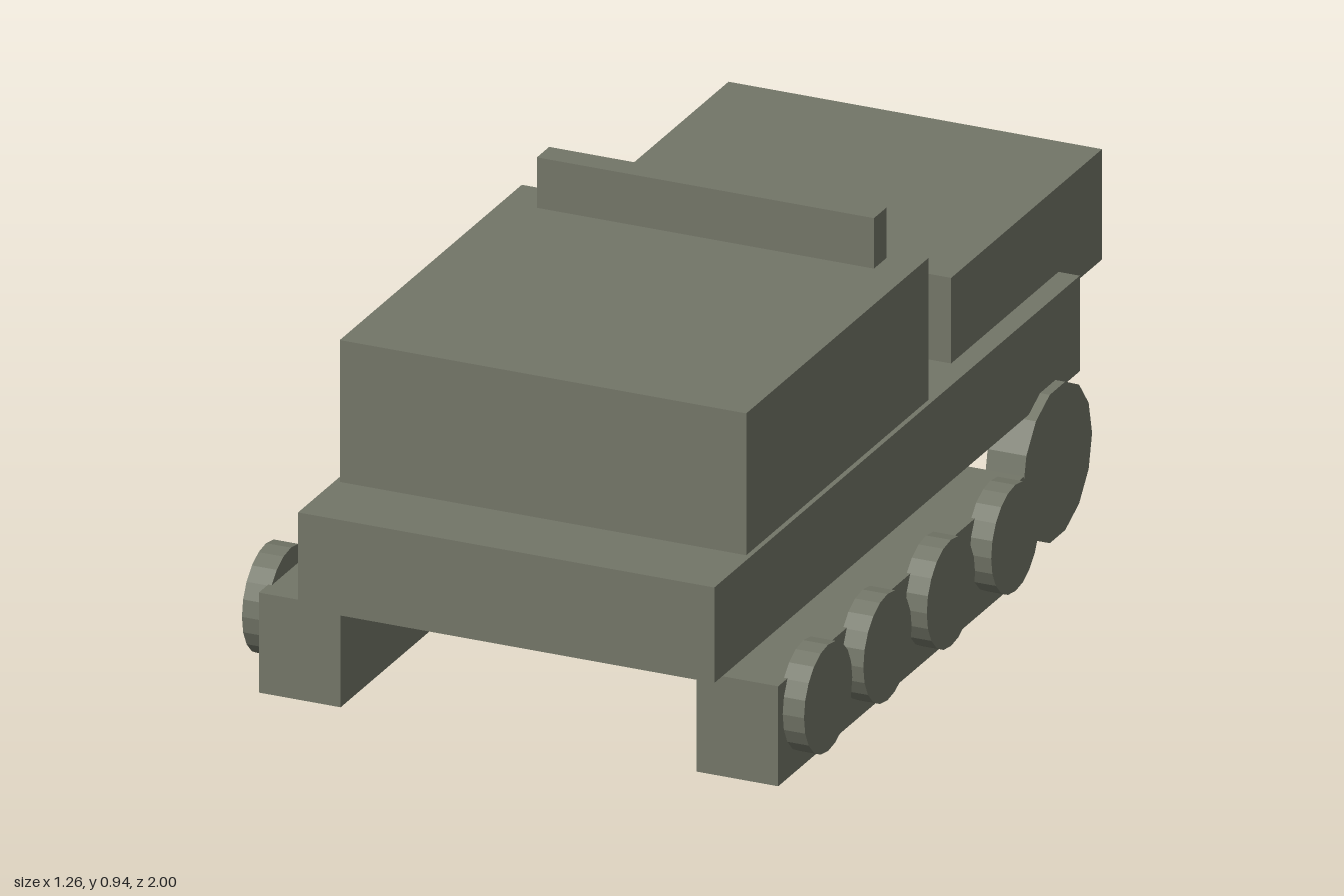
import * as THREE from 'three';

export function createModel() {
  const model = new THREE.Group();
  model.name = 'halfTrackVehicle';
  const olive = new THREE.MeshStandardMaterial({ color: 0x727567, flatShading: true });
  olive.name = 'olive grey';

  // Box given by its extents on each axis
  function box(name, [x0, x1], [y0, y1], [z0, z1]) {
    const mesh = new THREE.Mesh(new THREE.BoxGeometry(x1 - x0, y1 - y0, z1 - z0), olive);
    mesh.position.set((x0 + x1) / 2, (y0 + y1) / 2, (z0 + z1) / 2);
    mesh.name = name;
    model.add(mesh);
  }

  // Wheel with its axle along x
  function wheel(name, side, [x0, x1], y, z, radius, sides) {
    const geometry = new THREE.CylinderGeometry(radius, radius, x1 - x0, sides).rotateZ(Math.PI / 2);
    const mesh = new THREE.Mesh(geometry, olive);
    mesh.position.set(side * (x0 + x1) / 2, y, z);
    mesh.name = name;
    model.add(mesh);
  }

  // Body
  box('hull', [-0.468, 0.468], [0.303, 0.515], [-0.787, 1]);
  box('cabin', [-0.457, 0.457], [0.515, 0.83], [-0.07, 0.82]);
  box('roofBar', [-0.379, 0.379], [0.83, 0.942], [-0.034, 0.026]);
  box('rearDeck', [-0.42, 0.42], [0.46, 0.705], [-1, -0.262]);

  // Running gear, mirrored left and right
  for (const side of [1, -1]) {
    const label = side > 0 ? 'left' : 'right';
    box(label + 'Track', side > 0 ? [0.4, 0.584] : [-0.584, -0.4], [0.071, 0.293], [-0.262, 0.94]);
    [0.8, 0.51, 0.2, -0.115].forEach((z, i) =>
      wheel(label + 'RoadWheel' + (i + 1), side, [0.576, 0.632], 0.222, z, 0.118, 20));
    wheel(label + 'LargeWheel', side, [0.403, 0.49], 0.165, -0.63, 0.169, 14);
  }
  return model;
}
